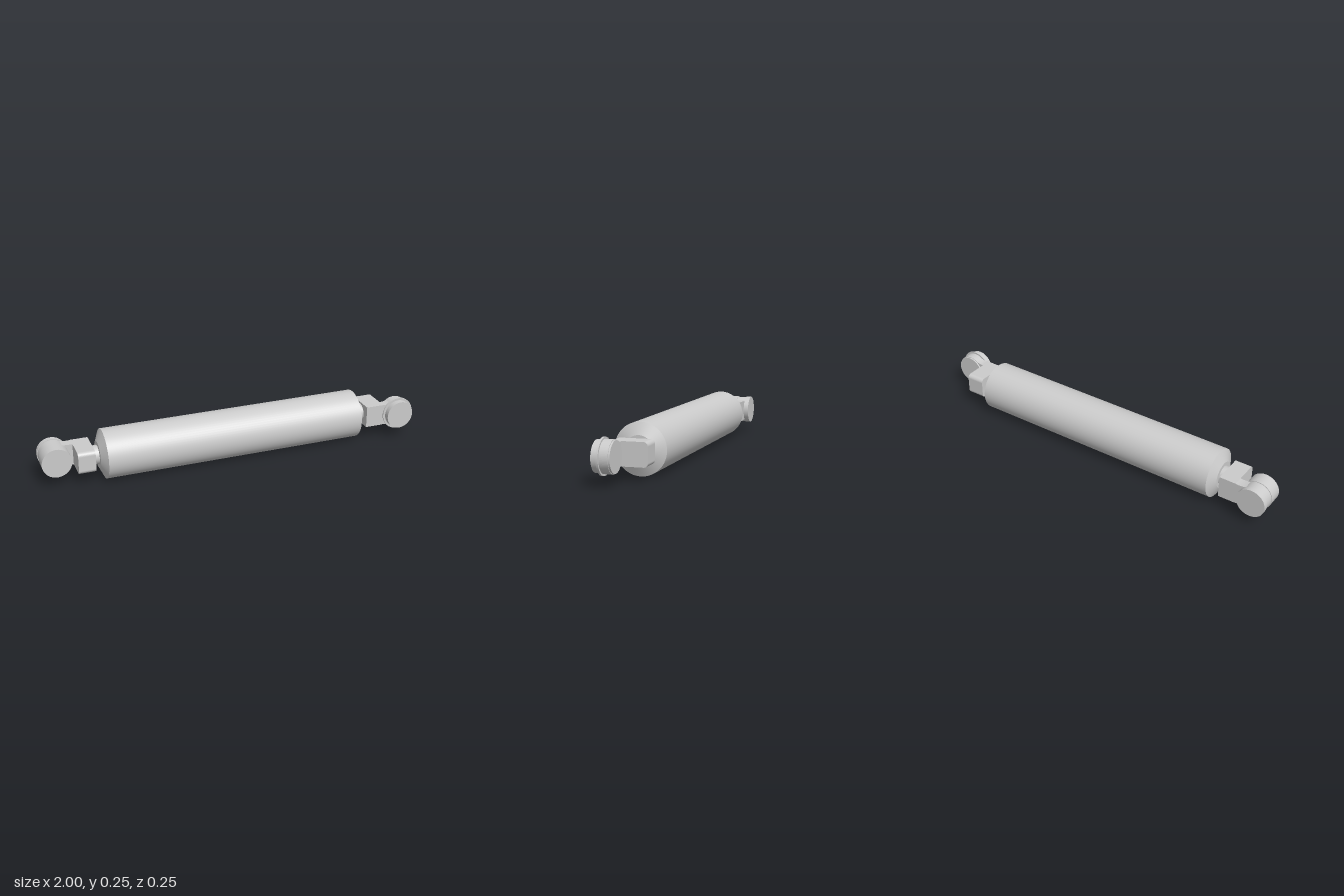
import * as THREE from 'three';

const AXIS_Y = 0.126;

export function createModel() {
  const model = new THREE.Group();
  const material = new THREE.MeshStandardMaterial({ color: 0xcccccc });

  function add(parent, name, geometry, x = 0, y = 0, z = 0) {
    const mesh = new THREE.Mesh(geometry, material);
    mesh.name = name;
    mesh.position.set(x, y, z);
    parent.add(mesh);
    return mesh;
  }

  // Solid of stacked cylinders/cones along x
  function rod(parent, name, radius, x0, x1, endRadius = radius) {
    const g = new THREE.CylinderGeometry(endRadius, radius, x1 - x0, 64);
    g.rotateZ(-Math.PI / 2);
    return add(parent, name, g, (x0 + x1) / 2);
  }

  // Round disc along z
  function disc(parent, name, radius, x, z0, z1) {
    const g = new THREE.CylinderGeometry(radius, radius, z1 - z0, 64);
    g.rotateX(Math.PI / 2);
    return add(parent, name, g, x, 0, (z0 + z1) / 2);
  }

  // Block with two rounded edges on its -z side, extruded along x
  function block(parent, x0, x1, zBack, zFront) {
    const h = 0.057, r = 0.02;
    const s = new THREE.Shape();
    s.moveTo(-zFront, -h);
    s.lineTo(-zBack - r, -h);
    s.absarc(-zBack - r, -h + r, r, -Math.PI / 2, 0);
    s.absarc(-zBack - r, h - r, r, 0, Math.PI / 2);
    s.lineTo(-zFront, h);
    s.closePath();
    const g = new THREE.ExtrudeGeometry(s, { depth: x1 - x0, bevelEnabled: false, curveSegments: 8 });
    g.rotateY(Math.PI / 2);
    add(parent, 'forkBlock', g, x0);
  }

  // Flat arm that sweeps from the block into a round eye
  function arm(parent, x0, eyeX, radius, z0, z1) {
    const h = 0.057, a = 2.2;
    const px = eyeX + radius * Math.cos(a), py = radius * Math.sin(a);
    const s = new THREE.Shape();
    s.moveTo(x0, -h);
    s.quadraticCurveTo((x0 + px) / 2, -h + 0.004, px, -py);
    s.absarc(eyeX, 0, radius, -a, a);
    s.quadraticCurveTo((x0 + px) / 2, h - 0.004, x0, h);
    s.closePath();
    const g = new THREE.ExtrudeGeometry(s, { depth: z1 - z0, bevelEnabled: false, curveSegments: 32 });
    add(parent, 'eyeArm', g, 0, 0, z0);
  }

  // Main tube with tapered ends
  const tube = new THREE.Group();
  tube.name = 'tube';
  tube.position.y = AXIS_Y;
  model.add(tube);
  rod(tube, 'barrel', 0.126, -0.69, 0.68);
  rod(tube, 'rightTaper', 0.068, -0.717, -0.69, 0.126);
  rod(tube, 'leftTaper', 0.126, 0.68, 0.707, 0.068);

  // End joint on the +x side, with a flanged pin
  const leftJoint = new THREE.Group();
  leftJoint.name = 'leftJoint';
  leftJoint.position.y = AXIS_Y;
  model.add(leftJoint);
  rod(leftJoint, 'neck', 0.048, 0.70, 0.732);
  block(leftJoint, 0.73, 0.826, -0.086, 0.084);
  arm(leftJoint, 0.82, 0.912, 0.077, 0.038, 0.084);
  disc(leftJoint, 'pin', 0.074, 0.912, 0.03, 0.119);
  disc(leftJoint, 'pinFlange', 0.086, 0.912, 0.08, 0.09);

  // End joint on the -x side, turned half round, with a longer plain pin
  const rightJoint = new THREE.Group();
  rightJoint.name = 'rightJoint';
  rightJoint.position.y = AXIS_Y;
  rightJoint.rotation.y = Math.PI;
  model.add(rightJoint);
  rod(rightJoint, 'neck', 0.048, 0.71, 0.745);
  block(rightJoint, 0.743, 0.83, -0.08, 0.093);
  arm(rightJoint, 0.825, 0.925, 0.072, 0.043, 0.093);
  disc(rightJoint, 'pinHead', 0.075, 0.925, -0.03, 0.043);
  disc(rightJoint, 'pinCap', 0.075, 0.925, 0.093, 0.119);

  return model;
}
